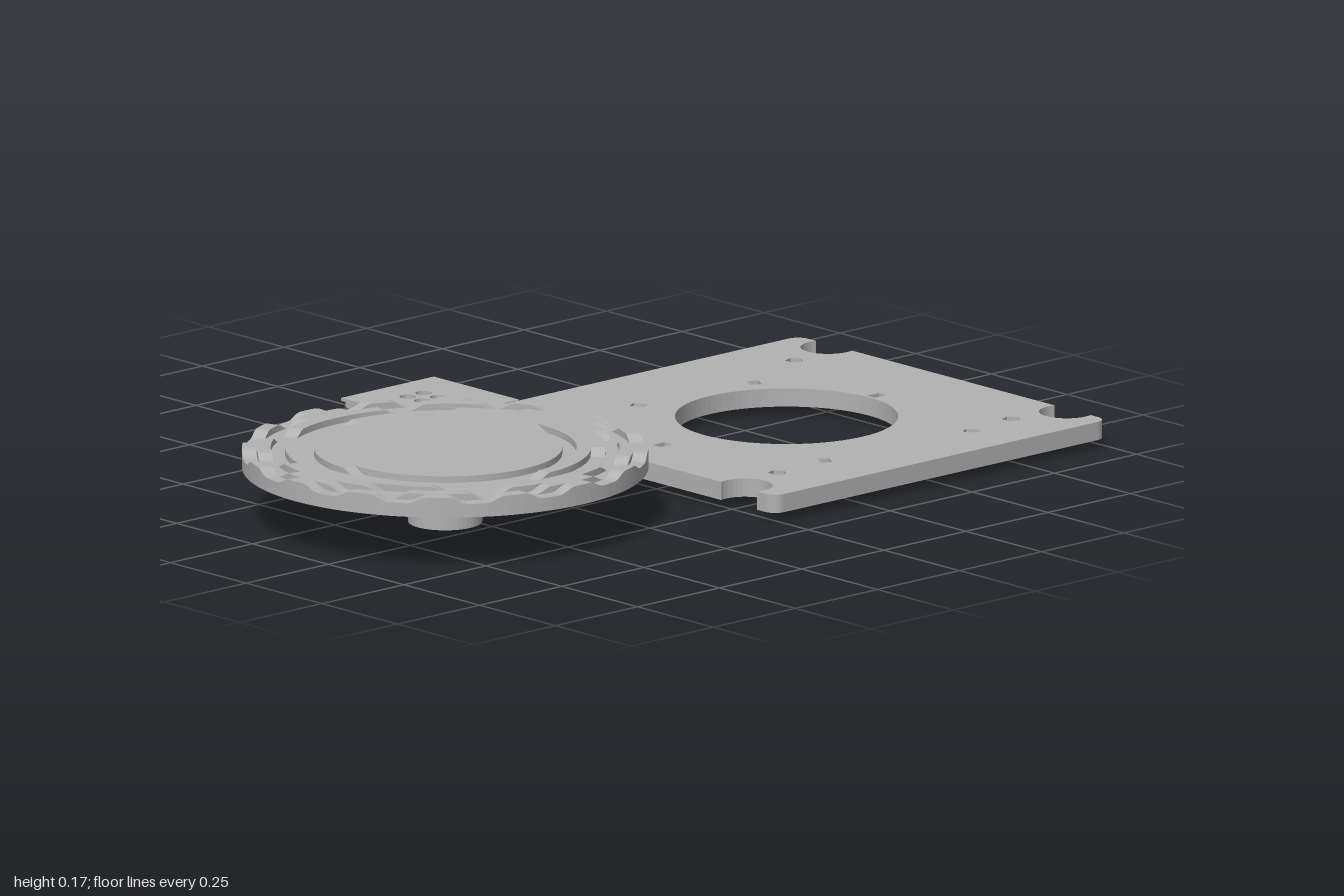
import * as THREE from 'three';

const grey = new THREE.MeshStandardMaterial({ color: 0xb2b2b2 });
grey.name = 'grey plastic';

// Points of a regular polygon or circle on the ground plane (x, z)
function ringPoints(cx, cz, r, n, turn = 0) {
  return Array.from({ length: n }, (_, i) => {
    const a = turn + (i / n) * Math.PI * 2;
    return new THREE.Vector2(cx + r * Math.cos(a), cz + r * Math.sin(a));
  });
}

// Rotated rectangle
function rectPoints(cx, cz, w, d, turn = 0) {
  return [[-1, -1], [1, -1], [1, 1], [-1, 1]].map(([i, j]) =>
    new THREE.Vector2(i * w / 2, j * d / 2)
      .rotateAround(new THREE.Vector2(), turn)
      .add(new THREE.Vector2(cx, cz)));
}

// Flat slab between two heights with an outline and holes
function slab(name, outline, holes, y0, y1) {
  const shape = new THREE.Shape(outline);
  holes.forEach((h) => shape.holes.push(new THREE.Path(h)));
  const geo = new THREE.ExtrudeGeometry(shape, { depth: y1 - y0, bevelEnabled: false });
  geo.rotateX(Math.PI / 2).translate(0, y1, 0);
  const mesh = new THREE.Mesh(geo, grey);
  mesh.name = name;
  return mesh;
}

// Raised ring whose top follows a height rule around the circle
function codeTrack(r0, r1, base, height) {
  const n = 256, pos = [], idx = [];
  for (let i = 0; i <= n; i++) {
    const a = (i / n) * Math.PI * 2, h = height(a);
    for (const [r, y] of [[r0, base], [r0, h], [r1, h], [r1, base]]) {
      pos.push(r * Math.cos(a), y, r * Math.sin(a));
    }
  }
  for (let i = 0; i < n; i++) {
    for (let j = 0; j < 3; j++) {
      const a = i * 4 + j, b = a + 4;
      idx.push(a, b, a + 1, a + 1, b, b + 1);
    }
  }
  let geo = new THREE.BufferGeometry();
  geo.setAttribute('position', new THREE.Float32BufferAttribute(pos, 3));
  geo.setIndex(idx);
  geo = geo.toNonIndexed();
  geo.computeVertexNormals();
  return new THREE.Mesh(geo, grey);
}

function makeDisc() {
  const disc = new THREE.Group();
  disc.name = 'codeDisc';
  const R = 0.455, inner = 0.262, low = 0.156, top = 0.171;

  // Disc body with a blind hole underneath
  disc.add(slab('discBase', ringPoints(0, 0, R, 128), [ringPoints(0, -0.29, 0.028, 16)], 0.125, 0.145));
  disc.add(slab('discBody', ringPoints(0, 0, R, 128), [], 0.145, low));
  disc.add(slab('discCentre', ringPoints(0, 0, inner, 128), [], low, top));

  // Six concentric binary code tracks with ramped ends
  const step = (R - inner) / 6;
  for (let k = 0; k < 6; k++) {
    const r0 = inner + k * step;
    const freq = k === 0 ? 1 : 2 ** (k - 1);
    const ramp = 0.03 * freq / (r0 + step);
    const track = codeTrack(r0, r0 + step, low - 0.002, (a) => {
      const wave = k === 0 ? -Math.sin(a) : Math.cos(freq * a);
      return low + (top - low) * THREE.MathUtils.clamp(0.5 + wave / ramp, 0, 1);
    });
    track.name = 'codeTrack' + (k + 1);
    disc.add(track);
  }

  // Hub with a D-shaped bore
  const bore = ringPoints(0, 0, 0.05, 32);
  bore.forEach((p) => { p.x = Math.max(p.x, -0.028); });
  disc.add(slab('hub', ringPoints(0, 0, 0.083, 48), [bore], 0, 0.125));
  disc.position.set(-0.545, 0, 0.143);
  return disc;
}

function makeBasePlate() {
  const plate = new THREE.Group();
  plate.name = 'basePlate';
  const W = 0.5075, H = 0.51, c = 0.03;
  const nx = 0.49, nz = 0.394, nr = 0.062;

  // One quarter of the outline: side notch, then rounded corner
  const quarter = [];
  const open = Math.acos((W - nx) / nr);
  for (let i = 0; i <= 20; i++) {
    const a = -open - (i / 20) * (Math.PI * 2 - 2 * open);
    quarter.push([nx + nr * Math.cos(a), nz + nr * Math.sin(a)]);
  }
  for (let i = 0; i <= 5; i++) {
    const a = (i / 5) * Math.PI / 2;
    quarter.push([W - c + c * Math.cos(a), H - c + c * Math.sin(a)]);
  }
  const outline = [];
  for (const [sx, sz] of [[1, 1], [-1, 1], [-1, -1], [1, -1]]) {
    const part = sx * sz > 0 ? quarter : [...quarter].reverse();
    part.forEach(([x, z]) => outline.push(new THREE.Vector2(sx * x, sz * z)));
  }

  // Central opening, screw holes and small slots
  const holes = [ringPoints(0, 0, 0.25, 96)];
  for (const x of [-0.358, 0.354]) {
    for (const z of [-0.358, 0.358]) holes.push(ringPoints(x, z, 0.022, 5));
  }
  const slots = [[-0.377, 0], [0.276, 0], [-0.174, -0.298], [0.152, -0.271], [-0.206, 0.35], [0.216, 0.377]];
  slots.forEach(([x, z]) => holes.push(rectPoints(x, z, 0.035, 0.026, Math.atan2(z, x))));
  plate.add(slab('plate', outline, holes, 0.02, 0.062));

  // Small locating pin
  plate.add(slab('pin', ringPoints(-0.42, -0.483, 0.013, 8), [], 0.06, 0.071));
  plate.position.set(0.4925, 0, 0.145);
  return plate;
}

function makeContactBlock() {
  const block = new THREE.Group();
  block.name = 'contactBlock';
  const holes = [];
  for (const x of [-0.024, 0.024]) {
    for (const z of [-0.048, 0, 0.048]) holes.push(ringPoints(x, z, 0.019, 12));
  }
  // Stepped block: foot, flange and thin lip
  for (const [name, size, y0, y1] of [
    ['foot', 0.207, 0, 0.038], ['flange', 0.268, 0.038, 0.053], ['lip', 0.282, 0.053, 0.06],
  ]) {
    block.add(slab(name, rectPoints(0, 0, size, size), holes, y0, y1));
  }
  block.position.set(0.018, 0, -0.517);
  return block;
}

export function createModel() {
  const model = new THREE.Group();
  model.name = 'encoderParts';
  model.add(makeDisc(), makeBasePlate(), makeContactBlock());
  return model;
}
